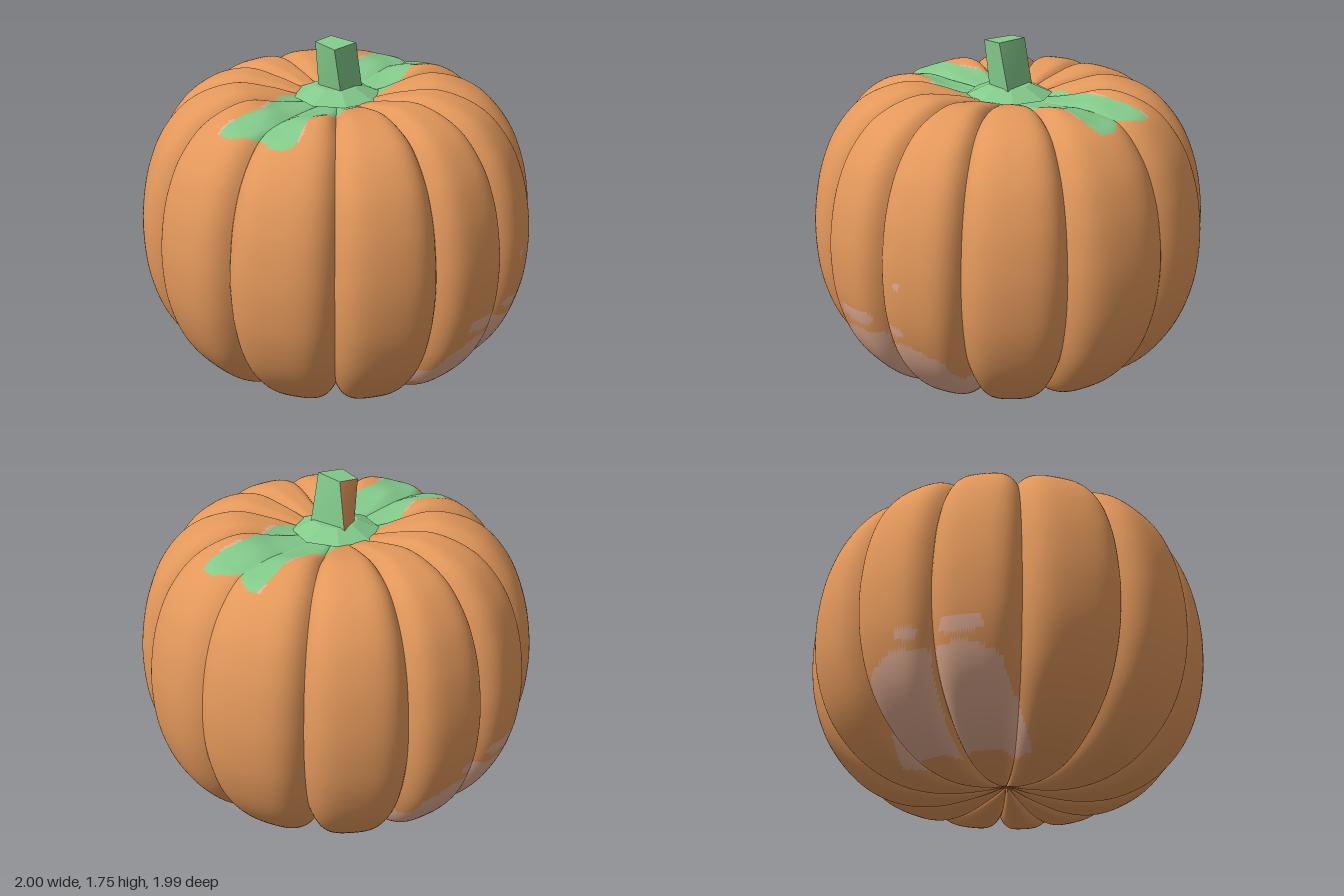
import * as THREE from 'three';

const material = (name, color) => {
  const m = new THREE.MeshStandardMaterial({ color });
  m.name = name;
  return m;
};

// Side profiles [radius, height], bottom centre to top centre
const curve = (pts) => new THREE.CatmullRomCurve3(pts.map(([r, y]) => new THREE.Vector3(r, y, 0)));
const crest = curve([[0, 0.08], [0.15, 0.035], [0.37, 0.003], [0.56, 0.03], [0.74, 0.125], [0.9, 0.31],
  [0.985, 0.53], [1.01, 0.75], [1.0, 0.93], [0.96, 1.12], [0.88, 1.3], [0.74, 1.45], [0.52, 1.53],
  [0.33, 1.505], [0.15, 1.46], [0, 1.45]]);
const groove = curve([[0, 0.1], [0.13, 0.07], [0.32, 0.055], [0.5, 0.085], [0.67, 0.185], [0.82, 0.35],
  [0.9, 0.56], [0.925, 0.76], [0.915, 0.93], [0.88, 1.11], [0.805, 1.28], [0.675, 1.42], [0.5, 1.48],
  [0.32, 1.47], [0.14, 1.45], [0, 1.45]]);

// Groove directions in degrees from the front; the ribs at the sides are narrower
const grooves = [0, 32.5, 63.5, 90, 116.5, 147.5].flatMap((a) => [a, a + 180]).sort((a, b) => a - b);
const ACROSS = 36, UP = 110;

// Which colour a point of the skin has: 0 orange, 1 green, 2 pale
function skinColour(x, y, z) {
  const ax = Math.abs(x), az = Math.abs(z);
  // green band over the top, with notched ends and a broken pale fringe
  const halfWidth = 0.172 + (z > 0 ? 0.028 : 0.016) * Math.cos((az - 0.24) * 14);
  const bandEnd = 0.67 + 0.07 * Math.sin(Math.min(ax / 0.2, 1) * 2.4);
  const beyond = Math.abs(x - 0.015) - halfWidth;
  if (y > 1.4 && az < bandEnd) {
    if (beyond < 0) return 1;
    if (beyond < 0.014 && az > 0.22 && Math.sin(z * 22 + Math.sign(x)) > 0.2) return 2;
  }
  // pale patches low on both sides
  if (ax > 0.42) {
    const low = x < 0 ? 0.05 : 0.09 + 0.25 * Math.max(0, z - 0.1);
    const high = 0.45 - 0.5 * Math.max(0, az - 0.2);
    if (y > low && y < high && az > 0.015 && az < 0.33) return 2;
    const inSpot = (cz, cy, hz, hy) => ((z - cz) / hz) ** 4 + ((y - cy) / hy) ** 2 < 1;
    if (inSpot(0.165, 0.525, 0.11, 0.038) || inSpot(-0.11, 0.52, 0.055, 0.03)) return 2;
    if (x > 0 && inSpot(-0.155, 0.775, 0.02, 0.02)) return 2;
  }
  return 0;
}

// One rib: the groove profile at its edges, quickly rising to a broad crest
function lobeGeometry(from, to) {
  const pos = [], faces = [[], [], []];
  for (let j = 0; j <= UP; j++) {
    const c = crest.getPoint(j / UP), g = groove.getPoint(j / UP);
    for (let i = 0; i <= ACROSS; i++) {
      const u = (i / ACROSS) * 2 - 1;
      const degrees = from + ((to - from) * i) / ACROSS;
      const shallow = 0.4 * Math.max(0, 1 - Math.abs(degrees - 180) / 16); // softer groove at the back
      const p = g.clone().lerp(c, 1 - Math.abs(u) ** 4 * (1 - shallow));
      const a = THREE.MathUtils.degToRad(degrees);
      const r = Math.max(p.x, 0), x = r * Math.sin(a);
      // shallow saddle across the top, in front of and behind the stem
      const saddle = 0.035 * Math.exp(-((x / 0.18) ** 4)) * THREE.MathUtils.smoothstep(p.y, 1.44, 1.52);
      pos.push(x, p.y - saddle, r * Math.cos(a));
    }
  }
  const mid = (t, k) => (pos[t[0] * 3 + k] + pos[t[1] * 3 + k] + pos[t[2] * 3 + k]) / 3;
  for (let j = 0; j < UP; j++) {
    for (let i = 0; i < ACROSS; i++) {
      const a = j * (ACROSS + 1) + i, b = a + 1, d = a + ACROSS + 1, c = d + 1;
      for (const t of [[a, b, c], [a, c, d]]) faces[skinColour(mid(t, 0), mid(t, 1), mid(t, 2))].push(...t);
    }
  }
  const geo = new THREE.BufferGeometry();
  geo.setAttribute('position', new THREE.Float32BufferAttribute(pos, 3));
  geo.setIndex(faces.flat());
  let start = 0;
  faces.forEach((f, k) => {
    if (f.length) geo.addGroup(start, f.length, k);
    start += f.length;
  });
  geo.computeVertexNormals();
  return geo;
}

export function createModel() {
  const orange = material('pumpkin orange', 0xe3985b);
  const green = material('stem green', 0x83ca8b);
  const pale = material('pale patch', 0xe2ad92);
  const model = new THREE.Group();
  model.name = 'pumpkin';

  // Ribbed body
  const body = new THREE.Group();
  body.name = 'body';
  grooves.forEach((from, i) => {
    const lobe = new THREE.Mesh(lobeGeometry(from, grooves[i + 1] ?? 360), [orange, green, pale]);
    lobe.name = 'lobe' + (i + 1);
    body.add(lobe);
  });
  model.add(body);

  // Flared stem base
  const baseGeo = new THREE.CylinderGeometry(0.11, 0.22, 0.05, 8).toNonIndexed();
  baseGeo.computeVertexNormals();
  const base = new THREE.Mesh(baseGeo, green);
  base.name = 'stemBase';
  base.position.y = 1.49;
  model.add(base);

  // Crooked square stalk, leaning forward, with one orange side.
  // Corners [x, z]: back left, back right, front left, front right as seen from the front
  const foot = [[-0.11, -0.06], [0.1, -0.08], [-0.08, 0.045], [0.07, 0.07]];
  const tip = [[-0.065, -0.045], [0.1, -0.02], [-0.09, 0.06], [0.06, 0.115]];
  const stalkGeo = new THREE.BoxGeometry(1, 1, 1);
  const p = stalkGeo.attributes.position;
  for (let i = 0; i < p.count; i++) {
    const corner = (p.getX(i) > 0 ? 1 : 0) + (p.getZ(i) > 0 ? 2 : 0);
    const top = p.getY(i) > 0;
    const [x, z] = (top ? tip : foot)[corner];
    p.setXYZ(i, x, top ? 1.745 - 0.08 * z : 1.49, z);
  }
  stalkGeo.computeVertexNormals();
  const stalk = new THREE.Mesh(stalkGeo, [green, orange, green, green, green, green]);
  stalk.name = 'stalk';
  model.add(stalk);

  return model;
}
